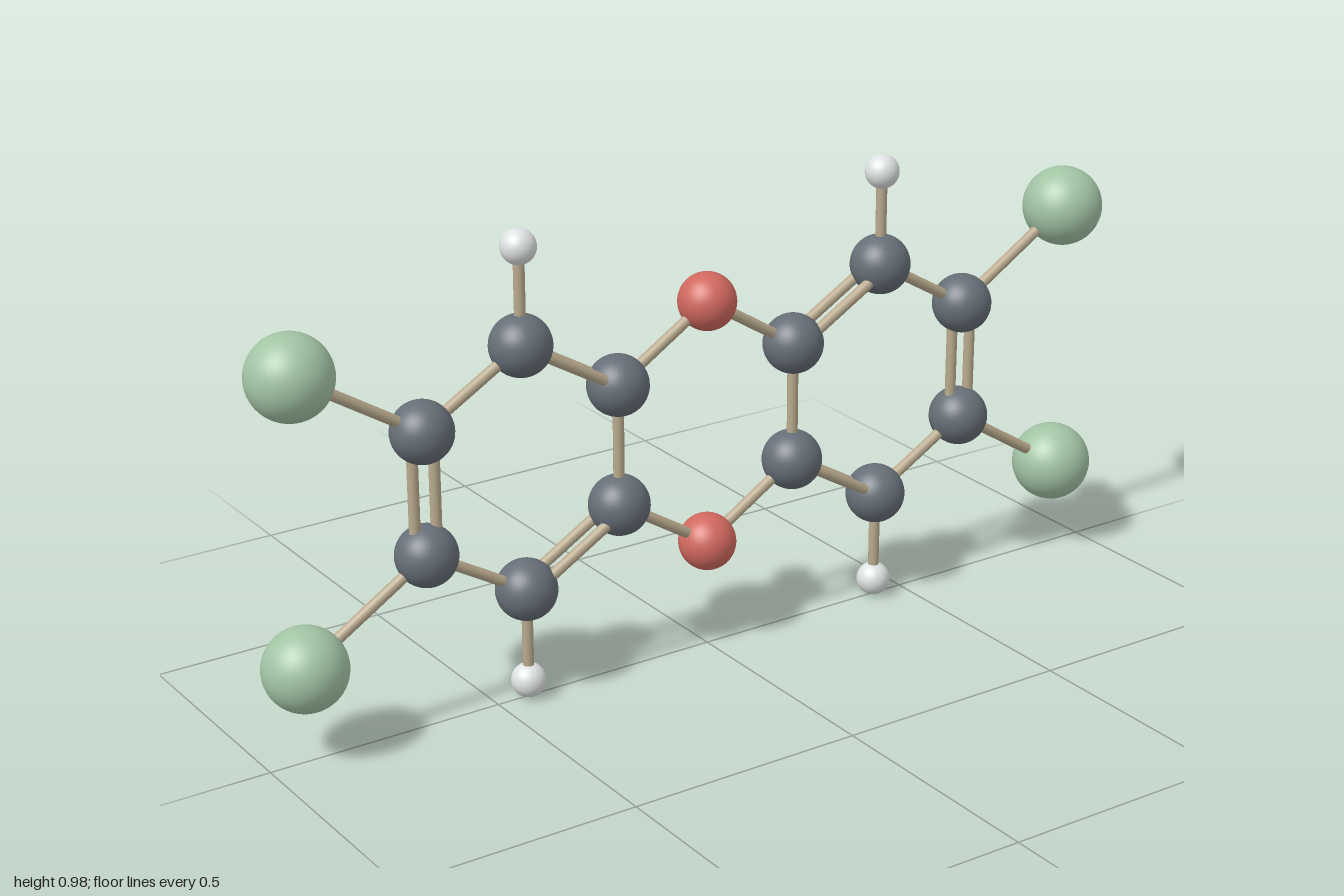
import * as THREE from 'three';

export function createModel() {
  const group = new THREE.Group();
  const material = (name, color) => {
    const m = new THREE.MeshStandardMaterial({ color });
    m.name = name;
    return m;
  };
  const slate = material('slate', 0x666e77);
  const green = material('sage green', 0xa3c4a5);
  const red = material('soft red', 0xd0685f);
  const white = material('off white', 0xdfe2e2);
  const tan = material('tan', 0xb9aa8e);
  const midY = 0.489;

  // Atom balls
  const balls = {
    carbon: new THREE.SphereGeometry(0.0625, 40, 28),
    chlorine: new THREE.SphereGeometry(0.0845, 40, 28),
    oxygen: new THREE.SphereGeometry(0.0595, 40, 28),
    hydrogen: new THREE.SphereGeometry(0.0355, 32, 24),
  };
  const addAtom = (kind, mat, p) => {
    const mesh = new THREE.Mesh(balls[kind], mat);
    mesh.name = kind + 'Atom';
    mesh.position.copy(p);
    group.add(mesh);
  };

  // Bond rods, optionally shifted sideways
  const up = new THREE.Vector3(0, 1, 0);
  const addBond = (a, b, dx = 0, dz = 0) => {
    const dir = b.clone().sub(a);
    const mesh = new THREE.Mesh(new THREE.CylinderGeometry(0.0113, 0.0113, dir.length(), 20), tan);
    mesh.name = 'bond';
    mesh.position.copy(a).add(b).multiplyScalar(0.5).add(new THREE.Vector3(dx, 0, dz));
    mesh.quaternion.setFromUnitVectors(up, dir.normalize());
    group.add(mesh);
  };

  const at = (x, y) => new THREE.Vector3(x, midY + y, 0);
  const offset = 0.0235;

  // Four mirrored quarters
  for (const sy of [1, -1]) {
    const oxygen = at(0, sy * 0.259);
    addAtom('oxygen', red, oxygen);
    for (const sx of [1, -1]) {
      const inner = at(sx * 0.211, sy * 0.127);
      const tip = at(sx * 0.429, sy * 0.255);
      const outer = at(sx * 0.648, sy * 0.127);
      const chlorine = at(sx * 0.9155, sy * 0.294);
      const hydrogen = at(sx * 0.429, sy * 0.4525);
      for (const p of [inner, tip, outer]) addAtom('carbon', slate, p);
      addAtom('chlorine', green, chlorine);
      addAtom('hydrogen', white, hydrogen);
      addBond(oxygen, inner);
      addBond(tip, outer);
      addBond(outer, chlorine);
      addBond(tip, hydrogen);
      for (const s of [1, -1]) addBond(inner, tip, 0, s * offset);
    }
  }

  // Upright bonds: single on the inside, double on the outside
  for (const sx of [1, -1]) {
    addBond(at(sx * 0.211, -0.127), at(sx * 0.211, 0.127));
    for (const s of [1, -1]) addBond(at(sx * 0.648, -0.127), at(sx * 0.648, 0.127), s * offset);
  }
  return group;
}
